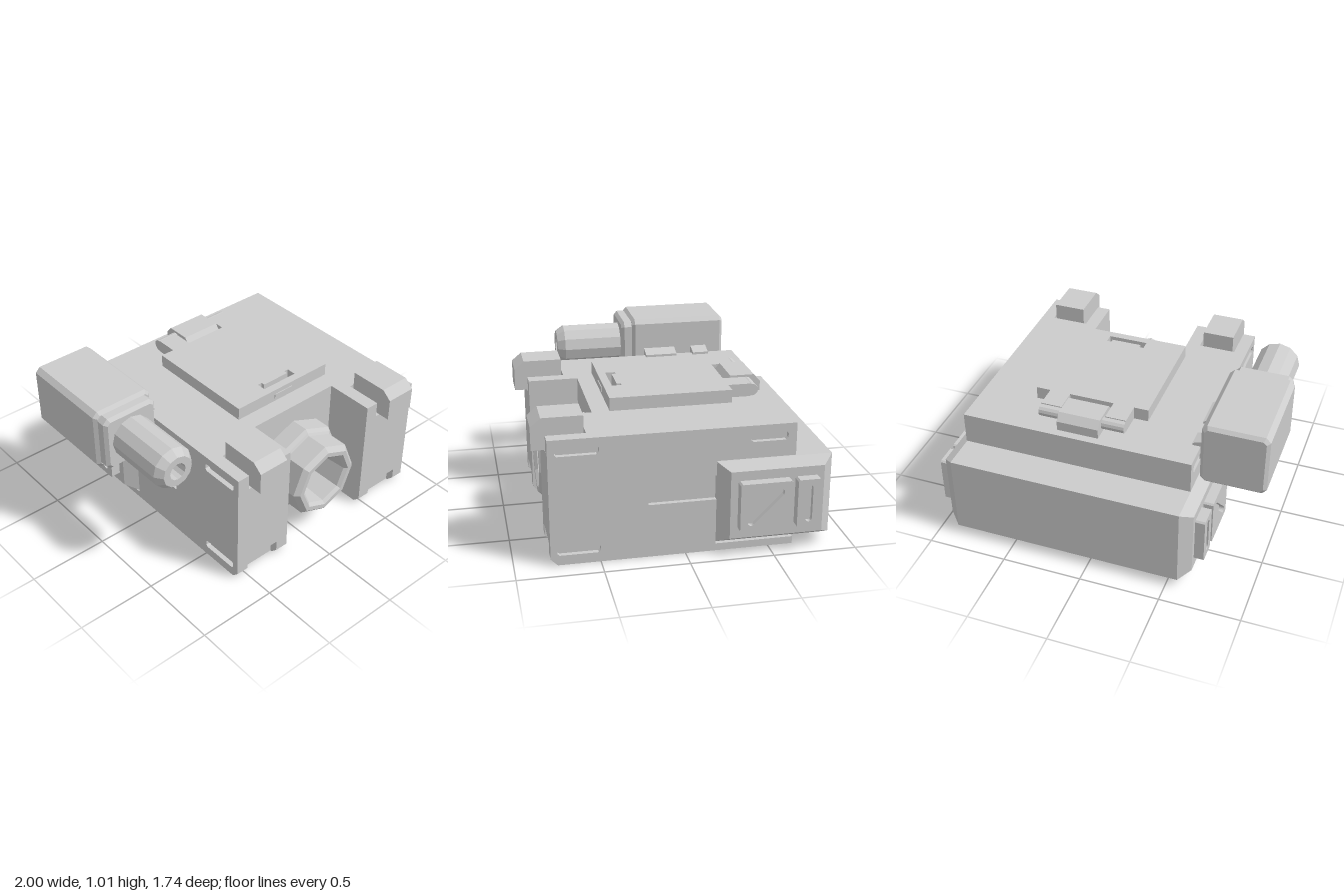
import * as THREE from 'three';

const CX = 0.15; // mirror plane of the main body
const mat = new THREE.MeshStandardMaterial({ color: 0xcccccc, flatShading: true });
const V = (x, y) => new THREE.Vector2(x, y);

export function createModel() {
  const model = new THREE.Group();

  const add = (name, geo, x = 0, y = 0, z = 0) => {
    const mesh = new THREE.Mesh(geo, mat);
    mesh.name = name;
    mesh.position.set(x, y, z);
    model.add(mesh);
    return mesh;
  };
  // Box given by its limits
  const box = (name, x0, x1, y0, y1, z0, z1) =>
    add(name, new THREE.BoxGeometry(x1 - x0, y1 - y0, z1 - z0), (x0 + x1) / 2, (y0 + y1) / 2, (z0 + z1) / 2);
  const poly = (pts) => new THREE.Shape(pts.map((p) => V(p[0], p[1])));
  // Rectangle with cut corners
  const cutRect = (x0, x1, y0, y1, c) => poly([
    [x0 + c, y0], [x1 - c, y0], [x1, y0 + c], [x1, y1 - c],
    [x1 - c, y1], [x0 + c, y1], [x0, y1 - c], [x0, y0 + c]]);
  // Round-ended groove between two points
  const groove = (x0, y0, x1, y1, r) => {
    const a = Math.atan2(y1 - y0, x1 - x0), h = Math.PI / 2;
    return new THREE.Path().absarc(x1, y1, r, a - h, a + h).absarc(x0, y0, r, a + h, a + 3 * h);
  };
  // Extrude a (z, y) profile along x
  const alongX = (name, shape, x0, x1, bevel = 0) => {
    const geo = new THREE.ExtrudeGeometry(shape, {
      depth: x1 - x0 - 2 * bevel, bevelEnabled: bevel > 0, bevelSize: bevel,
      bevelThickness: bevel, bevelOffset: -bevel, bevelSegments: 1, curveSegments: 4 });
    return add(name, geo.rotateY(-Math.PI / 2), x1 - bevel);
  };
  // Same, on both sides of the body
  const bothSides = (name, shape, x0, x1, bevel) => {
    alongX(name + 'Left', shape, x0, x1, bevel);
    alongX(name + 'Right', shape, 2 * CX - x1, 2 * CX - x0, bevel);
  };
  // Faceted turned part pointing to +z
  const turned = (name, pts, sides, x, y, z) =>
    add(name, new THREE.LatheGeometry(pts.map((p) => V(p[0], p[1])), sides).rotateX(Math.PI / 2), x, y, z);
  // Square block with cut corners and bevelled ends
  const bevelBlock = (name, w, z0, z1, c, x, y) => {
    const geo = new THREE.ExtrudeGeometry(cutRect(-w / 2, w / 2, -w / 2, w / 2, c), {
      depth: z1 - z0 - 0.04, bevelThickness: 0.02, bevelSize: 0.02, bevelOffset: -0.02, bevelSegments: 1 });
    return add(name, geo, x, y, z0 + 0.02);
  };

  // Body profiles, open at the rear where the pack sits
  const rear = [[-0.65, 0], [-0.65, 0.045], [-0.18, 0.045], [-0.18, 0.57], [-0.65, 0.57], [-0.65, 0.77]].reverse();
  const front = [[0.75, 0], [0.79, 0.04], [0.79, 0.77]];
  alongX('bodyCentre', poly([[0.48, 0], [0.48, 0.77], ...rear]), -0.17, 0.47);
  bothSides('innerArm', poly([...front, ...rear]), 0.47, 0.555);
  bothSides('outerArm', poly([...front, ...rear]), 0.79, 0.84);
  bothSides('notchedArm', poly([[0.74, 0], [0.74, 0.11], [0.79, 0.11], [0.79, 0.67],
    [0.56, 0.67], [0.56, 0.77], ...rear]), 0.555, 0.79);

  // Side skins with slots and a channel running into the pack
  const skin = poly([...front, ...rear.slice(0, 3),
    [-0.18, 0.48], [0.22, 0.48], [0.22, 0.33], [-0.18, 0.33], ...rear.slice(3)]);
  skin.holes.push(cutRect(0.5, 0.75, 0.67, 0.72, 0.012),
    cutRect(0.5, 0.75, 0.06, 0.11, 0.012), cutRect(-0.6, -0.38, 0.67, 0.72, 0.012));
  bothSides('sideSkin', skin, 0.84, 0.87);

  // Clamps on the front corners
  bothSides('clamp', poly([[0.57, 0.68], [0.87, 0.68], [0.87, 0.82], [0.81, 0.87], [0.57, 0.87]]), 0.575, 0.775);

  // Rear pack with tapered side caps
  box('rearPack', -0.57, 0.87, 0.06, 0.565, -0.87, -0.18);
  for (const s of [1, -1]) {
    const geo = new THREE.BoxGeometry(0.07, 0.505, 0.69);
    const p = geo.attributes.position;
    for (let i = 0; i < p.count; i++) {
      if (p.getX(i) * s > 0) p.setXYZ(i, p.getX(i), p.getY(i) * 0.83, p.getZ(i) * 0.81);
    }
    geo.computeVertexNormals();
    add('packSideCap', geo, CX + s * 0.755, 0.3125, -0.525);
  }
  // Grooved plates on the caps
  const wide = cutRect(-0.6, -0.29, 0.165, 0.465, 0.01);
  bothSides('widePlateBase', wide.clone(), 0.93, 0.97);
  wide.holes.push(groove(-0.355, 0.225, -0.53, 0.4, 0.02));
  bothSides('widePlate', wide, 0.97, 1.0);
  const narrow = cutRect(-0.77, -0.63, 0.165, 0.465, 0.01);
  bothSides('narrowPlateBase', narrow.clone(), 0.93, 0.97);
  narrow.holes.push(groove(-0.7, 0.22, -0.7, 0.41, 0.02));
  bothSides('narrowPlate', narrow, 0.97, 1.0);

  // Octagonal front port with a deep opening
  turned('frontPort', [[0, 0], [0.285, 0], [0.285, 0.11], [0.265, 0.13], [0.25, 0.14], [0.25, 0.28],
    [0.22, 0.31], [0.19, 0.31], [0.17, 0.29], [0.155, 0.1], [0, 0.1]], 8, CX, 0.37, 0.48);

  // Top hatch: plate with hinge ears and a U-shaped latch cut
  const hatch = poly([[-0.21, -0.38], [0.51, -0.38], [0.51, 0.36], [0.42, 0.36], [0.42, 0.5], [0.29, 0.5],
    [0.29, 0.36], [0.01, 0.36], [0.01, 0.5], [-0.12, 0.5], [-0.12, 0.36], [-0.21, 0.36]]);
  hatch.holes.push(poly([[0.04, -0.27], [0.04, -0.33], [0.29, -0.33], [0.29, -0.27],
    [0.26, -0.27], [0.26, -0.295], [0.07, -0.295], [0.07, -0.27]]));
  const hatchGeo = new THREE.ExtrudeGeometry(hatch, { depth: 0.08, bevelEnabled: false });
  add('hatch', hatchGeo.rotateX(-Math.PI / 2), 0, 0.785, 0);
  box('hatchSeat', 0.02, 0.28, 0.765, 0.79, -0.36, 0.36);
  box('hatchLatch', 0.08, 0.22, 0.805, 0.835, 0.37, 0.385);
  add('hingePin', new THREE.CylinderGeometry(0.037, 0.037, 0.54, 12).rotateZ(Math.PI / 2), CX, 0.825, -0.51);
  alongX('hingeBlock', poly([[-0.6, 0.765], [-0.38, 0.765], [-0.38, 0.84], [-0.41, 0.875],
    [-0.56, 0.875], [-0.6, 0.83]]), 0.02, 0.28);

  // Side cannon: housing, collar, barrel and brackets
  bevelBlock('cannonHousing', 0.4, -0.59, 0.04, 0.03, -0.8, 0.81);
  bevelBlock('cannonCollar', 0.36, 0, 0.11, 0.03, -0.8, 0.81);
  turned('cannonBarrel', [[0, 0], [0.135, 0], [0.135, 0.39], [0.1, 0.44], [0.055, 0.44], [0.05, 0.3], [0, 0.3]],
    12, -0.8, 0.81, 0.1);
  const bracket = poly([[-0.63, 0.68], [-0.565, 0.68], [-0.565, 0.765], [-0.52, 0.765], [-0.52, 0.785], [-0.63, 0.82]]);
  for (const [z0, z1] of [[-0.47, -0.365], [-0.25, -0.04]]) {
    add('cannonBracket', new THREE.ExtrudeGeometry(bracket, { depth: z1 - z0, bevelEnabled: false }), 0, 0, z0);
  }
  return model;
}
